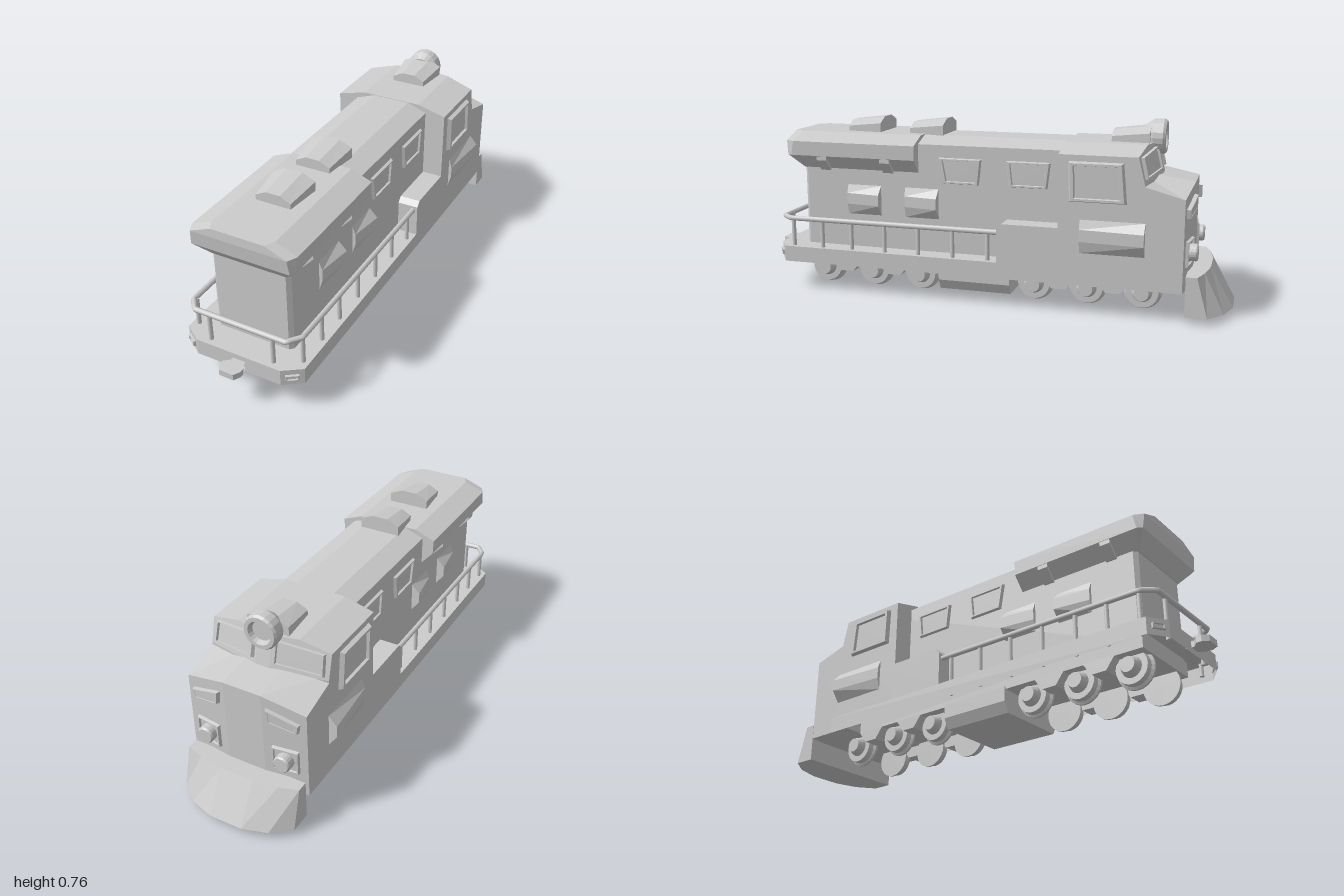
import * as THREE from 'three';

const V = (x, y, z) => new THREE.Vector3(x, y, z);
const flat = new THREE.MeshStandardMaterial({ color: 0xcccccc, flatShading: true });
const open = new THREE.MeshStandardMaterial({ color: 0xcccccc, flatShading: true, side: THREE.DoubleSide });
const smooth = new THREE.MeshStandardMaterial({ color: 0xcccccc });

// Solid through a list of equal-length rings, wound outward; the first cap can be left off
function loft(rings, firstCap = true) {
  const tris = [], n = rings[0].length, last = rings.length - 1;
  for (let i = 0; i < last; i++) {
    for (let j = 0; j < n; j++) {
      const k = (j + 1) % n, a = rings[i], b = rings[i + 1];
      tris.push([a[j], a[k], b[k]], [a[j], b[k], b[j]]);
    }
  }
  for (let j = 1; j < n - 1; j++) {
    if (firstCap) tris.push([rings[0][0], rings[0][j + 1], rings[0][j]]);
    tris.push([rings[last][0], rings[last][j], rings[last][j + 1]]);
  }
  const o = rings[0][0];
  let volume = 0;
  for (const [a, b, c] of tris) {
    volume += a.clone().sub(o).dot(b.clone().sub(o).cross(c.clone().sub(o)));
  }
  const pts = tris.flatMap(([a, b, c]) => (volume < 0 ? [a, c, b] : [a, b, c]));
  const geo = new THREE.BufferGeometry().setFromPoints(pts);
  geo.computeVertexNormals();
  return geo;
}

// Copy of a geometry reflected in x, with the winding restored
function mirrored(geo) {
  const g = geo.index ? geo.toNonIndexed() : geo.clone();
  g.scale(-1, 1, 1);
  for (const attr of Object.values(g.attributes)) {
    const s = attr.itemSize, a = attr.array;
    for (let i = 0; i < attr.count; i += 3) {
      for (let c = 0; c < s; c++) {
        const p = (i + 1) * s + c, q = (i + 2) * s + c;
        [a[p], a[q]] = [a[q], a[p]];
      }
    }
  }
  return g;
}

// Rings: along z from [x, y], across x from [z, y], level from [x, z], and a chamfered plan
const ringX = (x, pts) => pts.map(([z, y]) => V(x, y, z));
const ringZ = (z, pts) => pts.map(([x, y]) => V(x, y, z));
const symmetric = (pts) => [...pts, ...pts.map(([x, y]) => [-x, y]).reverse()];
const ringY = (y, pts) => symmetric(pts).map(([x, z]) => V(x, y, z));
const plan = (y, hw, z0, z1, cx, cz) => ringY(y, [[hw, z0], [hw, z1 - cz], [hw - cx, z1]]);

// Raised bevelled frame with a recessed pane, built on four corners
function framed(corners, normal, depth, border = 0.8, recess = 0.3) {
  const mid = corners.reduce((s, c) => s.add(c), V(0, 0, 0)).multiplyScalar(0.25);
  const ring = (s, d) => corners.map((c) => mid.clone().lerp(c, s).addScaledVector(normal, d));
  return loft([ring(1, -0.005), ring(0.91, depth), ring(border, depth), ring(border - 0.03, depth * recess)]);
}

export function createModel() {
  const root = new THREE.Group();
  root.name = 'locomotive';
  const add = (name, geo, mat = flat) => {
    const m = new THREE.Mesh(geo, mat);
    m.name = name;
    root.add(m);
  };
  const both = (name, geo, mat = flat) => {
    add(name + 'Left', geo, mat);
    add(name + 'Right', mirrored(geo), mat);
  };

  // Deck shell, open below, with a chassis down its middle
  add('deck', loft([0.12, 0.187].map((y) => plan(y, 0.253, -0.7, 0.923, 0.073, 0.05)), false), open);
  add('chassis', new THREE.BoxGeometry(0.34, 0.06, 1.5).translate(0, 0.15, 0.06));

  // Engine hood
  const hood = (hw) => symmetric([[hw, 0.15], [hw, 0.64], [0.08, 0.67]]);
  add('engineHood', loft([ringZ(-0.45, hood(0.165)), ringZ(0.795, hood(0.165)), ringZ(0.81, hood(0.15))]));

  // Flared roof over the end of the hood, with ribs under its sides
  add('roofOverhang', loft([
    plan(0.52, 0.164, 0.287, 0.815, 0.01, 0.01), plan(0.578, 0.215, 0.287, 0.865, 0.012, 0.02),
    plan(0.638, 0.217, 0.287, 0.872, 0.02, 0.04), plan(0.672, 0.13, 0.287, 0.87, 0.02, 0.04),
  ]));
  for (const z of [0.705, 0.42]) {
    const rib = [[0.15, 0.513], [0.172, 0.513], [0.214, 0.56], [0.214, 0.588], [0.15, 0.588]];
    both('roofRib', loft([ringZ(z - 0.022, rib), ringZ(z + 0.022, rib)]));
  }

  // Cab with a swept windscreen wall
  const wallZ = (x, y) => {
    const t = Math.max(0, (Math.abs(x) - 0.03) / 0.22);
    return -0.705 + 0.045 * t + (y - 0.54) * 0.25;
  };
  add('cab', loft([-0.253, -0.13, -0.03, 0.03, 0.13, 0.253].map((x) => {
    const top = Math.abs(x) > 0.2 ? 0.64 : 0.672;
    return ringX(x, [[-0.325, 0.187], [-0.325, top], [wallZ(x, top), top], [wallZ(x, 0.54), 0.54], [-0.66, 0.187]]);
  })));
  const step = [[-0.075, 0.187], [-0.075, 0.325], [-0.095, 0.347], [-0.4, 0.347], [-0.4, 0.187]];
  add('cabStep', loft([ringX(-0.253, step), ringX(0.253, step)]));

  // Faceted nose
  add('nose', loft([-0.253, -0.08, 0.08, 0.253].map((x) => {
    const edge = Math.abs(x) > 0.1;
    const front = edge ? -0.814 : -0.837;
    return ringX(x, [[-0.6, 0.12], [-0.6, edge ? 0.545 : 0.56], [front, edge ? 0.487 : 0.53], [front, 0.12]]);
  })));

  // Windscreens and side windows
  const wx = (x, y) => V(x, y, wallZ(x, y));
  both('windscreen', framed([wx(0.035, 0.565), wx(0.24, 0.55), wx(0.235, 0.637), wx(0.035, 0.66)],
    V(0.2, 0.23, -0.95).normalize(), 0.012, 0.84));
  const sideWindow = (name, x, depth, zTop, zBottom, y0, y1) => both(name, framed(
    [V(x, y0, zBottom[0]), V(x, y0, zBottom[1]), V(x, y1, zTop[1]), V(x, y1, zTop[0])], V(1, 0, 0), depth));
  sideWindow('cabWindow', 0.253, 0.017, [-0.362, -0.582], [-0.367, -0.597], 0.455, 0.617);
  sideWindow('hoodWindowFront', 0.165, 0.012, [0.2, 0.01], [0.18, 0.022], 0.48, 0.59);
  sideWindow('hoodWindowRear', 0.165, 0.012, [-0.088, -0.278], [-0.1, -0.265], 0.48, 0.59);

  // Side air scoops, flaring towards the nose
  const scoop = (name, x, z0, z1, y0, y1, out) => {
    const h = y1 - y0;
    const ring = (z, o) => ringZ(z, [[x - 0.01, y0], [x, y0], [x + o, y0 + h * 0.36], [x + o, y0 + h * 0.72], [x, y1], [x - 0.01, y1]]);
    both(name, loft([ring(z0, out * 0.4), ring(z1, out)]));
  };
  scoop('hoodScoopFront', 0.165, 0.607, 0.457, 0.328, 0.455, 0.035);
  scoop('hoodScoopRear', 0.165, 0.347, 0.2, 0.328, 0.455, 0.035);
  scoop('cabScoop', 0.253, -0.413, -0.667, 0.253, 0.387, 0.034);

  // Roof vents
  for (const z of [0.638, 0.357, -0.5]) {
    const ring = (zz, w, side, top) => ringZ(zz, symmetric([[w, 0.65], [w, side], [w * 0.4, top]]));
    add('roofVent', loft([ring(z, 0.073, 0.693, 0.715), ring(z - 0.152, 0.088, 0.71, 0.734)]));
  }

  // Round lamps, their axis along -z
  const lamp = (profile, x, y, z) => new THREE.LatheGeometry(profile.map(([r, h]) => new THREE.Vector2(r, h)), 20)
    .rotateX(-Math.PI / 2).translate(x, y, z);
  add('roofLamp', lamp([[0, 0], [0.05, 0], [0.07, 0.03], [0.071, 0.07], [0.064, 0.08], [0.048, 0.08], [0.04, 0.06], [0, 0.06]],
    0, 0.69, -0.63));
  const nosePoint = (x, y) => V(x, y, -0.837 + (x - 0.08) * 0.133);
  const noseOut = V(0.132, 0, -0.99);
  both('lampBezel', framed([nosePoint(0.112, 0.215), nosePoint(0.222, 0.215), nosePoint(0.222, 0.32), nosePoint(0.112, 0.32)],
    noseOut, 0.012, 0.82));
  both('noseLamp', lamp([[0, 0], [0.034, 0], [0.034, 0.034], [0.029, 0.04], [0, 0.04]], 0.167, 0.267, -0.823));
  both('markerPlate', framed([nosePoint(0.1, 0.43), nosePoint(0.225, 0.408), nosePoint(0.23, 0.445), nosePoint(0.095, 0.485)],
    noseOut, 0.016, 0.8, 0.9));

  // Curved track plough
  add('plough', loft([
    ringY(0.027, [[0.245, -0.825], [0.245, -0.912], [0.17, -0.97], [0.07, -1]]),
    ringY(0.187, [[0.245, -0.825], [0.245, -0.868], [0.17, -0.892], [0.07, -0.908]]),
  ]));

  // Fuel tank between the wheel sets
  const tank = symmetric([[0.152, 0.027], [0.175, 0.07], [0.175, 0.13]]);
  add('fuelTank', loft([ringZ(-0.107, tank), ringZ(0.2, tank)]));

  // Wheels and the side frames between them
  const wheel = new THREE.LatheGeometry([[0, 0.09], [0.078, 0.09], [0.078, 0.099], [0.068, 0.105], [0.066, 0.13],
    [0.042, 0.13], [0.038, 0.142], [0.03, 0.162], [0, 0.162]].map(([r, h]) => new THREE.Vector2(r, h)), 24)
    .rotateZ(-Math.PI / 2);
  for (const set of [[0.737, 0.513, 0.298], [-0.202, -0.422, -0.647]]) {
    set.forEach((z, i) => {
      both('wheel', wheel.clone().translate(0, 0.078, z));
      if (i === 2) return;
      const m = (z + set[i + 1]) / 2;
      const frame = [[m - 0.07, 0.125], [m - 0.03, 0.073], [m + 0.03, 0.073], [m + 0.07, 0.125]];
      both('sideFrame', loft([ringX(0.105, frame), ringX(0.17, frame)]));
    });
  }

  // Handrail and posts
  const half = [V(0.233, 0.307, -0.085), V(0.233, 0.307, 0.85), V(0.195, 0.307, 0.897)];
  const line = [...half, ...half.map((p) => V(-p.x, p.y, p.z)).reverse()];
  const path = new THREE.CurvePath();
  for (let i = 1; i < line.length; i++) path.add(new THREE.LineCurve3(line[i - 1], line[i]));
  add('handrail', new THREE.TubeGeometry(path, 160, 0.011, 8), smooth);
  for (const [x, z] of [[0.135, 0.893], ...[0.84, 0.705, 0.57, 0.42, 0.27, 0.12, -0.03].map((z) => [0.228, z])]) {
    both('railPost', new THREE.CylinderGeometry(0.009, 0.009, 0.17, 8).translate(x, 0.22, z), smooth);
  }

  // Coupler and corner markers
  const coupler = [[0.02, 0.9], [0.02, 0.935], [0.045, 0.955], [0.045, 0.975], [0.03, 1]];
  add('coupler', loft([0.141, 0.166].map((y) => ringY(y, coupler))));
  both('cornerMarker', framed([V(0.193, 0.143, 0.914), V(0.238, 0.143, 0.883), V(0.238, 0.166, 0.883), V(0.193, 0.166, 0.914)],
    V(0.565, 0, 0.825), 0.01, 0.7));

  return root;
}
